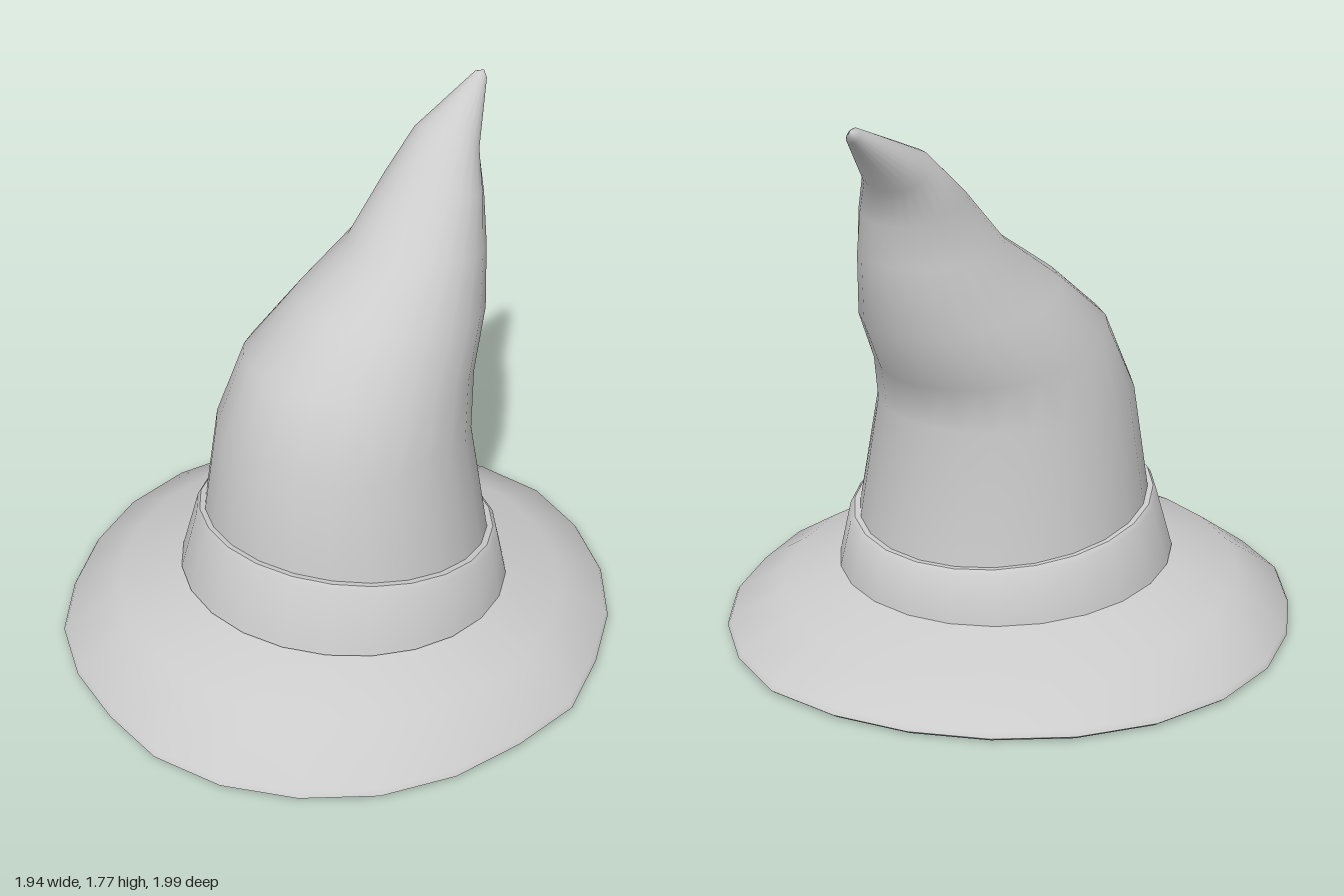
import * as THREE from 'three';
import { toCreasedNormals } from 'three/addons/utils/BufferGeometryUtils.js';

const SIDES = 24;

// Skin a stack of tilted oval rings.
// Ring: [xRight, xLeft, zFront, yFront, zBack, yBack, wobble]
function loft(rings, radii) {
  const pos = [], idx = [];
  for (const [x0, x1, zf, yf, zb, yb, wobble = 0] of rings) {
    for (let j = 0; j < SIDES; j++) {
      const a = (j / SIDES) * Math.PI * 2;
      const k = radii ? 1 + (radii[j] - 1) * wobble : 1;
      const s = Math.sin(a) * k, c = Math.cos(a) * k;
      pos.push(
        (x0 + x1) / 2 + ((x1 - x0) / 2) * s,
        (yf + yb) / 2 + ((yf - yb) / 2) * Math.cos(a),
        (zf + zb) / 2 + ((zf - zb) / 2) * c
      );
    }
  }
  for (let i = 0; i < rings.length - 1; i++) {
    for (let j = 0; j < SIDES; j++) {
      const n = (j + 1) % SIDES;
      const a = i * SIDES + j, b = i * SIDES + n;
      idx.push(a, b, b + SIDES, a, b + SIDES, a + SIDES);
    }
  }
  const g = new THREE.BufferGeometry();
  g.setAttribute('position', new THREE.Float32BufferAttribute(pos, 3));
  g.setIndex(idx);
  g.computeVertexNormals();
  return g;
}

export function createModel() {
  const group = new THREE.Group();
  group.name = 'pointedHat';
  const material = new THREE.MeshStandardMaterial({ color: 0xcccccc, side: THREE.DoubleSide });
  const add = (name, geometry) => {
    const mesh = new THREE.Mesh(geometry, material);
    mesh.name = name;
    group.add(mesh);
  };

  // Uneven brim outline: relative radius every 15 degrees from the front
  const outline = [
    0.99, 1.0, 1.0, 1.0, 0.99, 0.98, 1.0, 0.98, 0.99, 1.0, 1.01, 1.02,
    1.0, 0.99, 0.99, 1.0, 1.01, 1.01, 1.0, 0.98, 0.97, 0.98, 0.97, 0.965
  ];

  // Brim: underside outwards, round the rim, then back in over the top
  add('brim', toCreasedNormals(loft([
    [-0.49, 0.54, 0.5, 0.22, -0.53, 0.15],
    [-0.76, 0.78, 0.78, 0.14, -0.79, 0.075, 0.5],
    [-0.955, 0.955, 0.985, 0.0, -0.985, 0.0, 1],
    [-0.97, 0.97, 1.0, 0.012, -1.0, 0.012, 1],
    [-0.96, 0.96, 0.99, 0.03, -0.99, 0.03, 1],
    [-0.77, 0.79, 0.79, 0.165, -0.8, 0.105, 0.5],
    [-0.53, 0.58, 0.54, 0.243, -0.57, 0.172]
  ], outline), 0.9));

  // Band wrapped round the foot of the cone
  add('band', toCreasedNormals(loft([
    [-0.5, 0.55, 0.5, 0.235, -0.53, 0.16],
    [-0.545, 0.597, 0.555, 0.245, -0.58, 0.165],
    [-0.54, 0.592, 0.55, 0.262, -0.578, 0.18],
    [-0.497, 0.55, 0.487, 0.465, -0.545, 0.322],
    [-0.485, 0.537, 0.475, 0.482, -0.53, 0.336],
    [-0.455, 0.505, 0.445, 0.478, -0.5, 0.336]
  ]), 0.7));

  // Hollow cone, bending backwards to a point
  add('cone', loft([
    [-0.49, 0.54, 0.5, 0.22, -0.53, 0.15],
    [-0.468, 0.517, 0.457, 0.47, -0.513, 0.33],
    [-0.405, 0.447, 0.417, 0.8, -0.45, 0.77],
    [-0.36, 0.4, 0.29, 1.05, -0.5, 0.92],
    [-0.265, 0.355, 0.1, 1.21, -0.59, 1.1],
    [-0.155, 0.298, -0.12, 1.35, -0.6, 1.32],
    [-0.11, 0.235, -0.32, 1.54, -0.615, 1.45],
    [-0.075, 0.165, -0.49, 1.67, -0.638, 1.56],
    [0.005, 0.05, -0.775, 1.775, -0.808, 1.735],
    [0.027, 0.029, -0.809, 1.768, -0.811, 1.764]
  ]));

  return group;
}
